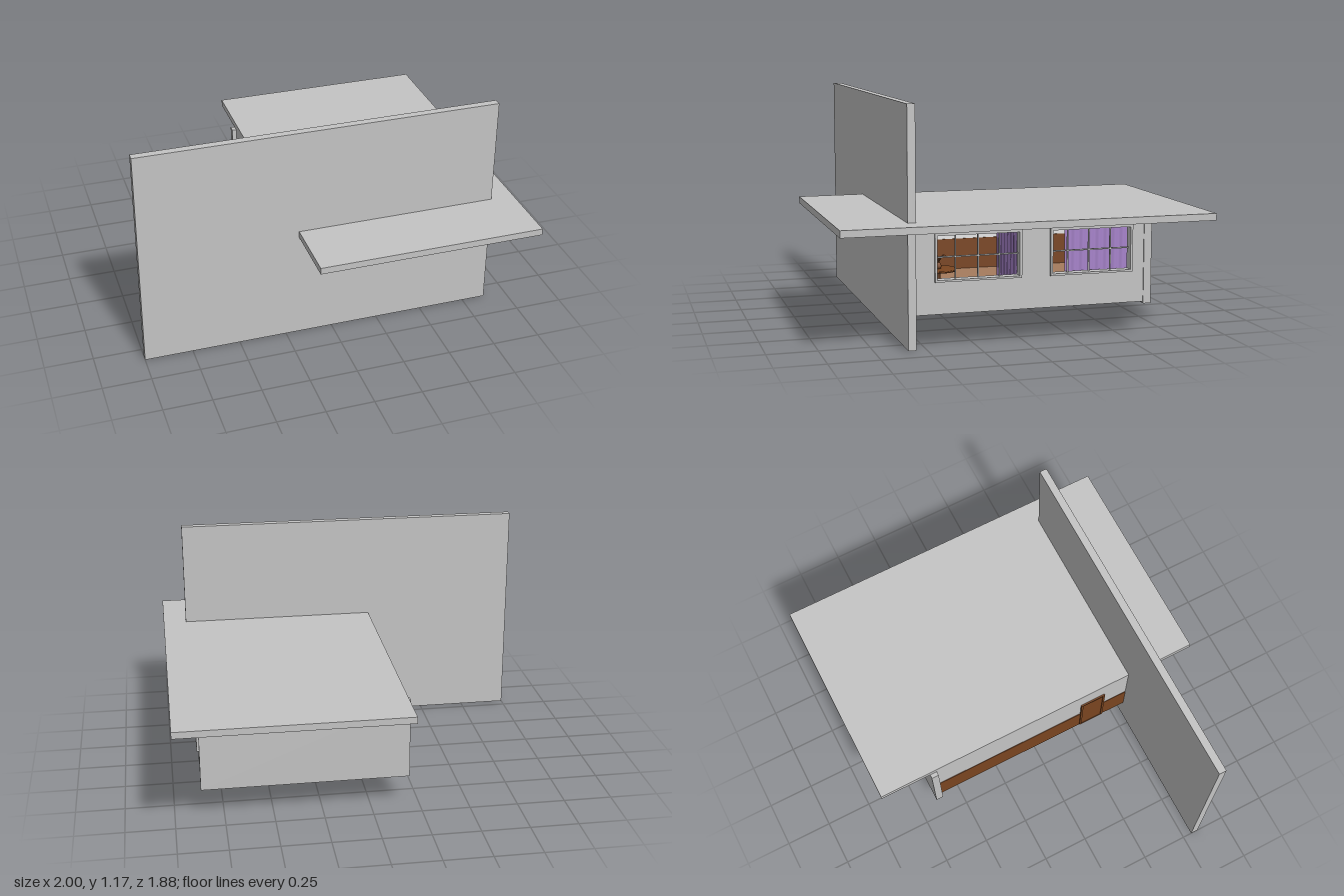
import * as THREE from 'three';

const mat = (name, color, side = THREE.FrontSide) => {
  const m = new THREE.MeshStandardMaterial({ color, side });
  m.name = name;
  return m;
};

export function createModel() {
  const model = new THREE.Group();
  model.name = 'house';
  const concrete = mat('concrete grey', 0xc4c4c4);
  const wood = mat('dark wood', 0x7a4520);
  const floorWood = mat('floor wood', 0xa67c5e);
  const plaster = mat('white plaster', 0xf8f8f8);
  const fabric = mat('purple fabric', 0xa884cc, THREE.DoubleSide);

  // box from its min and max on each axis
  const box = (name, material, [x0, x1], [y0, y1], [z0, z1], parent = model) => {
    const mesh = new THREE.Mesh(new THREE.BoxGeometry(x1 - x0, y1 - y0, z1 - z0), material);
    mesh.position.set((x0 + x1) / 2, (y0 + y1) / 2, (z0 + z1) / 2);
    mesh.name = name;
    parent.add(mesh);
    return mesh;
  };

  // rectangle in the z-y plane, traced on a shape whose x is -z
  const rect = (path, [z0, z1], [y0, y1]) => {
    path.moveTo(-z1, y0);
    path.lineTo(-z0, y0);
    path.lineTo(-z0, y1);
    path.lineTo(-z1, y1);
    path.closePath();
    return path;
  };

  // upright panel with rectangular openings, facing +x
  const panel = (name, material, x0, x1, z, y, openings, parent = model) => {
    const shape = rect(new THREE.Shape(), z, y);
    openings.forEach((o) => shape.holes.push(rect(new THREE.Path(), o.z, o.y)));
    const geo = new THREE.ExtrudeGeometry(shape, { depth: x1 - x0, bevelEnabled: false });
    geo.rotateY(Math.PI / 2).translate(x0, 0, 0);
    const mesh = new THREE.Mesh(geo, material);
    mesh.name = name;
    parent.add(mesh);
  };

  // large slabs
  box('frontWall', concrete, [-1, 0.875], [0, 1.175], [0.55, 0.59]);
  box('roof', concrete, [-0.178, 1], [0.58, 0.615], [-0.94, 0.935]);
  box('backWall', concrete, [-0.2, 0.865], [0.155, 0.58], [-0.655, -0.615]);
  box('floor', floorWood, [-0.172, 0.83], [0.17, 0.182], [-0.615, 0.55]);

  // window wall
  const windows = [
    { z: [0.035, 0.445], y: [0.333, 0.547], bars: [0.35, 0.237, 0.13] },
    { z: [-0.54, -0.135], y: [0.333, 0.547], bars: [-0.22, -0.33, -0.443] },
  ];
  panel('windowWall', concrete, 0.825, 0.86, [-0.615, 0.55], [0.165, 0.58], windows);

  // window frames and glazing bars
  windows.forEach((w) => {
    const group = new THREE.Group();
    group.name = 'window';
    model.add(group);
    panel('windowFrame', concrete, 0.859, 0.874,
      [w.z[0] - 0.012, w.z[1] + 0.012], [w.y[0] - 0.01, w.y[1] + 0.012], [w], group);
    w.bars.forEach((z) => box('glazingBar', concrete, [0.838, 0.848], w.y, [z - 0.003, z + 0.003], group));
    box('glazingBar', concrete, [0.838, 0.848], [0.437, 0.443], w.z, group);
  });

  // curtains: sheets folded by a sine wave
  const curtain = (z0, z1, folds, depth) => {
    const geo = new THREE.PlaneGeometry(z1 - z0, 0.25, folds * 8, 1);
    const p = geo.attributes.position;
    for (let i = 0; i < p.count; i++) {
      const t = p.getX(i) / (z1 - z0) + 0.5;
      p.setZ(i, Math.sin(t * folds * Math.PI * 2) * depth);
    }
    geo.rotateY(Math.PI / 2).computeVertexNormals();
    const mesh = new THREE.Mesh(geo, fabric);
    mesh.position.set(0.8, 0.44, (z0 + z1) / 2);
    mesh.name = 'curtain';
    model.add(mesh);
  };
  curtain(0.02, 0.13, 7, 0.015);
  curtain(-0.56, -0.22, 8, 0.004);

  // door wall, white inside, with wood wainscot on both faces
  const doorway = { z: [0.262, 0.408], y: [0.182, 0.488] };
  box('doorWall', concrete, [-0.176, -0.15], [0.165, 0.58], [-0.615, 0.55]);
  box('innerPlaster', plaster, [-0.15, -0.147], [0.182, 0.58], [-0.615, 0.55]);
  [[-0.179, -0.175], [-0.148, -0.143]].forEach((x) =>
    box('wainscot', wood, x, [0.172, 0.35], [-0.614, 0.549]));

  // door leaf and its frame
  box('door', wood, [-0.181, -0.138], doorway.y, doorway.z);
  panel('doorFrame', wood, -0.185, -0.132, doorway.z, doorway.y,
    [{ z: [0.274, 0.396], y: [0.184, 0.476] }]);

  // round table with a twig vase
  const table = new THREE.Group();
  table.name = 'table';
  table.position.set(0.45, 0.182, 0.33);
  model.add(table);
  const turned = (name, points) => {
    const geo = new THREE.LatheGeometry(points.map(([r, y]) => new THREE.Vector2(r, y)), 20);
    const mesh = new THREE.Mesh(geo, wood);
    mesh.name = name;
    table.add(mesh);
  };
  turned('pedestal', [[0, 0], [0.045, 0], [0.045, 0.008], [0.01, 0.016], [0.01, 0.115],
    [0.09, 0.115], [0.09, 0.125], [0, 0.125]]);
  turned('vase', [[0, 0.125], [0.012, 0.125], [0.016, 0.14], [0.007, 0.155], [0, 0.155]]);
  for (let i = 0; i < 6; i++) {
    const a = (i / 6) * Math.PI * 2;
    const tip = (r, y) => new THREE.Vector3(Math.cos(a) * r, y, Math.sin(a) * r);
    const curve = new THREE.QuadraticBezierCurve3(tip(0, 0.15), tip(0.01, 0.19), tip(0.04, 0.19));
    const twig = new THREE.Mesh(new THREE.TubeGeometry(curve, 6, 0.0025, 5), wood);
    twig.name = 'twig';
    table.add(twig);
  }
  return model;
}
